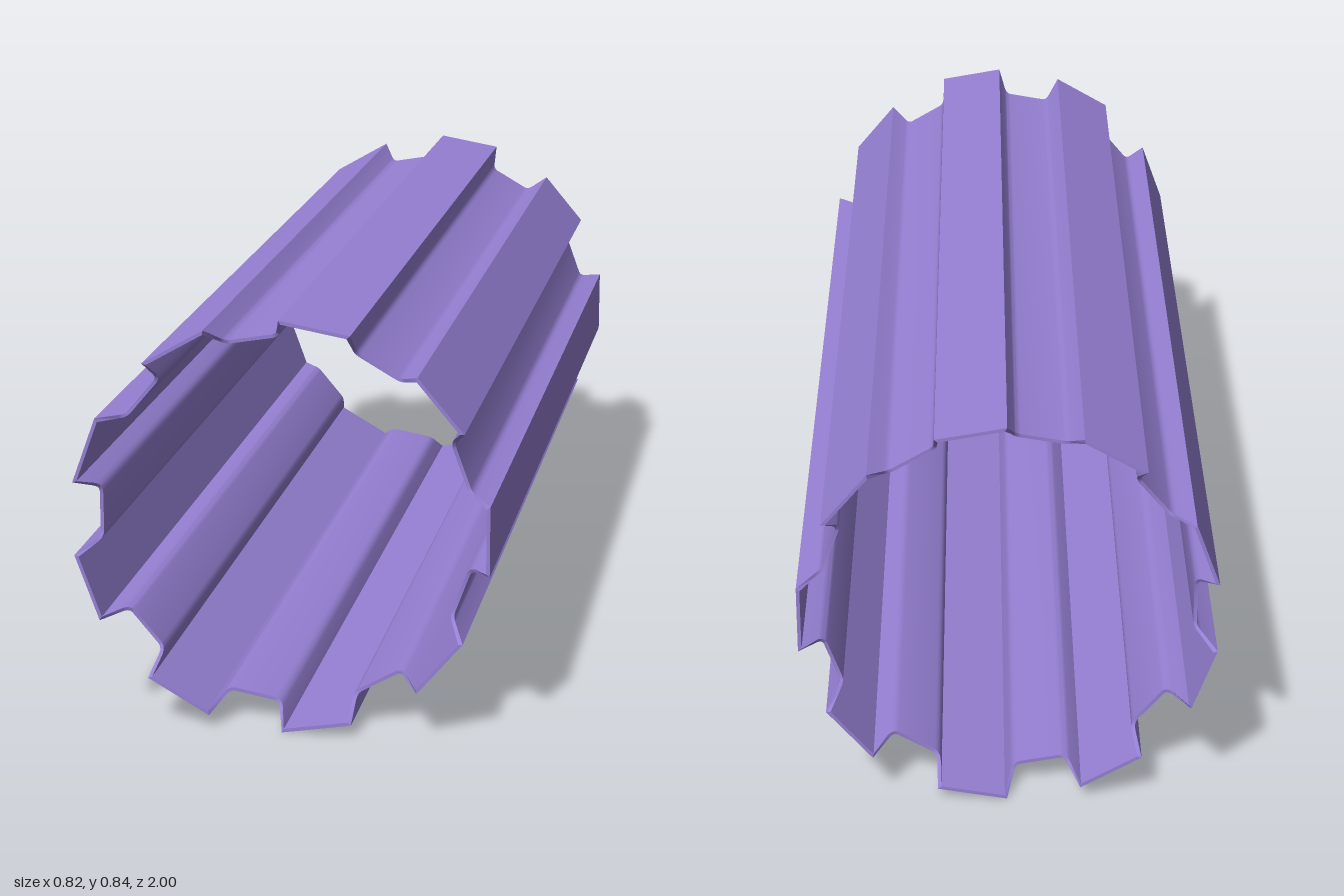
import * as THREE from 'three';
import { toCreasedNormals } from 'three/addons/utils/BufferGeometryUtils.js';

const RIBS = 9, WALL = 0.007, AXIS_Y = 0.423;
const RIDGE = 0.411, GROOVE = 0.373; // distance of the ridge and groove faces from the axis
const HALF_LENGTH = 1, RECESS = 0.06; // groove ends are set back from the ridge ends

// half of one groove: [distance from axis, sideways offset], ridge corner first
const halfGroove = [[RIDGE, 0.0747], [0.381, 0.0555], [0.3765, 0.0515], [0.374, 0.0465], [GROOVE, 0.041]];

// closed outline of the tube wall, counter-clockwise, with the end position of each point
function outline() {
  const groove = [
    ...halfGroove.map(([r, u]) => [r, -u]),
    ...halfGroove.slice().reverse(),
  ];
  const points = [];
  for (let k = 0; k < RIBS; k++) {
    const a = ((k + 0.5) / RIBS) * Math.PI * 2;
    for (const [r, u] of groove) {
      points.push({
        p: new THREE.Vector2(r, u).rotateAround(new THREE.Vector2(), a),
        z: HALF_LENGTH - RECESS * (RIDGE - r) / (RIDGE - GROOVE),
      });
    }
  }
  return points;
}

// mitred inward offset of outline point i
function inset(points, i) {
  const n = points.length;
  const normal = (a, b) => {
    const d = b.clone().sub(a).normalize();
    return new THREE.Vector2(-d.y, d.x);
  };
  const p = points[i].p;
  const n1 = normal(points[(i + n - 1) % n].p, p);
  const n2 = normal(p, points[(i + 1) % n].p);
  return n1.clone().add(n2).multiplyScalar(WALL / (1 + n1.dot(n2))).add(p);
}

function tubeGeometry() {
  const points = outline();
  const n = points.length;
  const positions = [], index = [];
  points.forEach(({ p, z }, i) => {
    const q = inset(points, i);
    // outer front, outer back, inner back, inner front
    positions.push(p.x, p.y, z, p.x, p.y, -z, q.x, q.y, -z, q.x, q.y, z);
    const j = (i + 1) % n;
    for (let s = 0; s < 4; s++) {
      const t = (s + 1) % 4;
      const a = i * 4 + s, b = i * 4 + t, c = j * 4 + t, d = j * 4 + s;
      index.push(a, b, c, a, c, d);
    }
  });
  const geometry = new THREE.BufferGeometry();
  geometry.setAttribute('position', new THREE.Float32BufferAttribute(positions, 3));
  geometry.setIndex(index);
  return toCreasedNormals(geometry, Math.PI / 6);
}

export function createModel() {
  const group = new THREE.Group();
  group.name = 'flutedTube';
  const wall = new THREE.Mesh(tubeGeometry(), new THREE.MeshStandardMaterial({ color: 0x9680d4 }));
  wall.name = 'corrugatedWall';
  wall.position.y = AXIS_Y;
  group.add(wall);
  return group;
}
